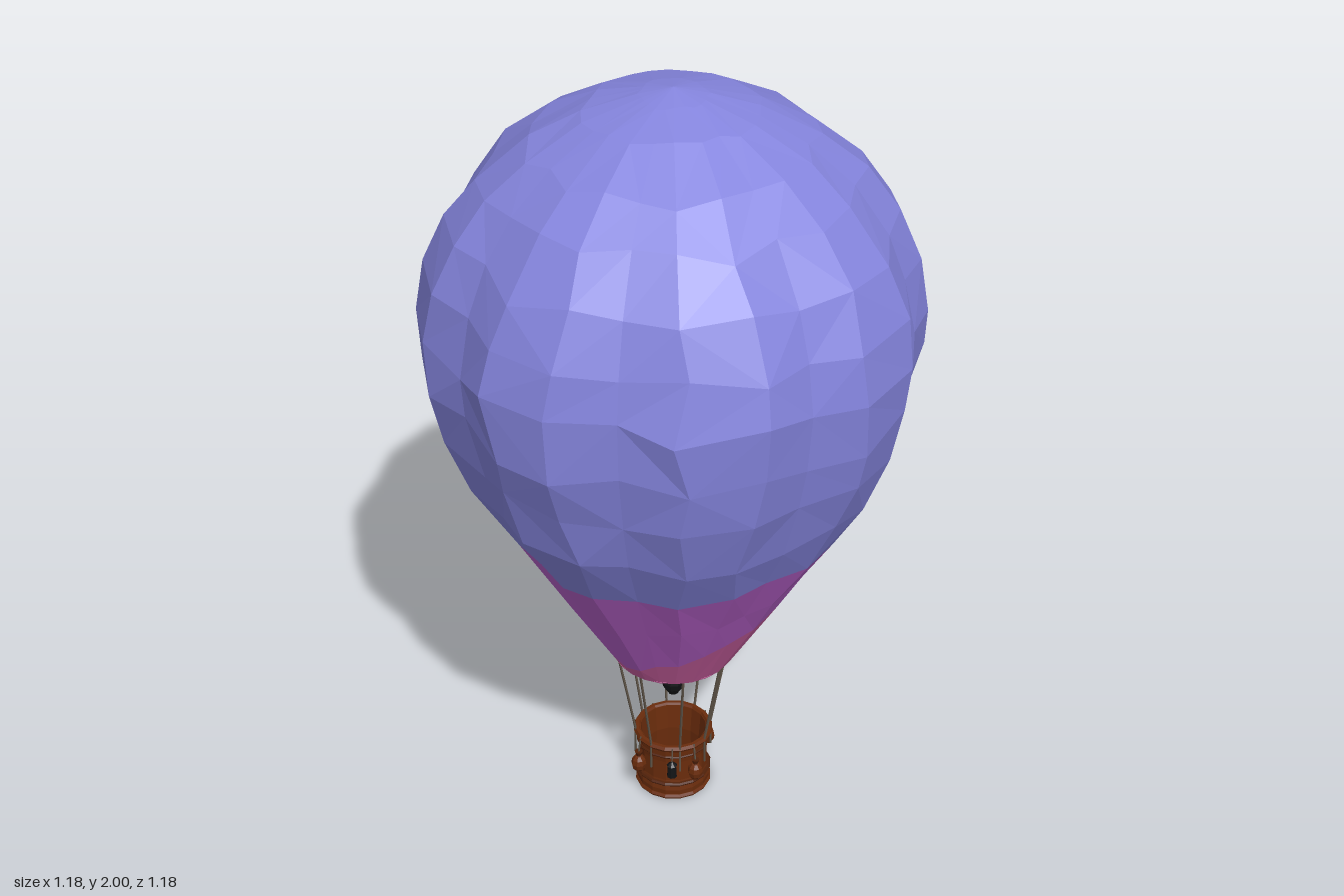
import * as THREE from 'three';

const mat = (name, color, opts = {}) => {
  const m = new THREE.MeshStandardMaterial({ color, flatShading: true, ...opts });
  m.name = name;
  return m;
};

export function createModel() {
  const model = new THREE.Group();
  const open = { side: THREE.DoubleSide };
  const blue = mat('envelope blue', 0x8585de, open);
  const violet = mat('envelope violet', 0xb560c8, open);
  const pink = mat('envelope pink', 0xc95f9f, open);
  const brown = mat('wicker brown', 0x6a2c0c, open);
  const darkBrown = mat('leather brown', 0x52220a);
  const black = mat('burner black', 0x121416, open);
  const rope = mat('rope', 0x5c5246);

  const add = (name, geometry, material, parent = model) => {
    const m = new THREE.Mesh(geometry, material);
    m.name = name;
    parent.add(m);
    return m;
  };
  const polar = (r, y, t) => new THREE.Vector3(r * Math.sin(t), y, r * Math.cos(t));
  const lathe = (pts, sides) => new THREE.LatheGeometry(pts.map(p => new THREE.Vector2(...p)), sides);
  // Straight thin rod between two points
  const rod = (name, a, b, r, material, parent) => {
    const m = add(name, new THREE.CylinderGeometry(r, r, a.distanceTo(b), 5), material, parent);
    m.position.copy(a).lerp(b, 0.5);
    m.quaternion.setFromUnitVectors(new THREE.Vector3(0, 1, 0), b.clone().sub(a).normalize());
    return m;
  };
  const hoop = (name, r, y, tube, sides, material, parent) => {
    const m = add(name, new THREE.TorusGeometry(r, tube, 6, sides), material, parent);
    m.rotation.x = Math.PI / 2;
    m.position.y = y;
    return m;
  };
  let seed = 7;
  const jitter = a => {
    seed = (seed * 16807) % 2147483647;
    return (seed / 2147483647 * 2 - 1) * a;
  };

  // Envelope: eight bulging gores, three columns each, with uneven facets
  const profile = [[0.157, 0.435], [0.38, 0.815], [0.447, 0.915], [0.49, 0.98], [0.572, 1.2],
    [0.6, 1.33], [0.607, 1.44], [0.584, 1.55], [0.53, 1.68], [0.43, 1.81], [0.295, 1.91], [0.155, 1.97], [0, 2]];
  const radiusAt = y => {
    let i = 1;
    while (i < profile.length - 1 && profile[i][1] < y) i++;
    const [r0, y0] = profile[i - 1], [r1, y1] = profile[i];
    return r0 + (r1 - r0) * Math.min(1, Math.max(0, (y - y0) / (y1 - y0)));
  };
  // Each row: height, tilt of the row, unevenness
  const rows = [[0.435, 0, 0], [0.575, 0.115, 0.012], [0.72, 0.08, 0.012], [0.87, 0.045, 0.014],
    [1.02, 0.02, 0.02], [1.16, 0, 0.025], [1.3, 0, 0.025], [1.44, 0, 0.02], [1.56, 0, 0.022],
    [1.68, 0, 0.02], [1.79, 0, 0.018], [1.88, 0, 0.012], [1.95, 0, 0.006], [1.984, 0, 0.002], [2, 0, 0]];
  const cols = 24;
  const grid = rows.map(([y0, tilt, rough], i) => Array.from({ length: cols }, (_, j) => {
    const k = j % 3;
    const t = Math.floor(j / 3) * Math.PI / 4 + [0, 0.25, 0.54][k] + (rough && k ? jitter(0.035) : 0);
    const y = y0 + tilt * Math.cos(t - 2.14) + jitter(rough);
    const groove = k ? 1 + jitter(rough * 0.5) : 1 - 0.06 * Math.sin(Math.PI * Math.min(1, (i + 1) / 15));
    return polar(radiusAt(y) * groove, y, t);
  }));
  const band = (name, from, to, material) => {
    const pts = [];
    for (let i = from; i < to; i++) for (let j = 0; j < cols; j++) {
      const n = (j + 1) % cols;
      const a = grid[i][j], b = grid[i][n], c = grid[i + 1][n], d = grid[i + 1][j];
      if (jitter(1) > 0) pts.push(a, b, c, a, c, d);
      else pts.push(a, b, d, b, c, d);
    }
    const g = new THREE.BufferGeometry().setFromPoints(pts);
    g.computeVertexNormals();
    add(name, g, material);
  };
  band('envelopeSkirt', 0, 1, pink);
  band('envelopeLower', 1, 3, violet);
  band('envelopeUpper', 3, rows.length - 1, blue);
  hoop('mouthRim', 0.152, 0.436, 0.005, 24, pink);

  // Basket: open woven tub with wall thickness, floor and padded hoops
  const basket = new THREE.Group();
  basket.name = 'basket';
  model.add(basket);
  add('basketTub', lathe([[0, 0.004], [0.094, 0.004], [0.096, 0.03], [0.09, 0.06], [0.09, 0.12],
    [0.096, 0.172], [0.086, 0.172], [0.08, 0.1], [0.084, 0.025], [0, 0.025]], 16), brown, basket);
  hoop('basketRim', 0.095, 0.17, 0.009, 16, brown, basket);
  hoop('basketUpperBand', 0.093, 0.14, 0.004, 16, darkBrown, basket);
  hoop('basketLowerBand', 0.094, 0.05, 0.006, 16, darkBrown, basket);
  hoop('basketFoot', 0.092, 0.009, 0.008, 16, brown, basket);

  // Suspension ropes, with finer stays holding the burner
  for (let i = 0; i < 8; i++) {
    const t = (i + 0.5) * Math.PI / 4;
    rod('suspensionRope', polar(0.1, 0.1, t), polar(0.1, 0.18, t), 0.003, rope);
    rod('suspensionRope', polar(0.1, 0.18, t), polar(0.146, 0.436, t), 0.0035, rope);
    if (i % 2) rod('burnerStay', polar(0.02, 0.34, t), polar(0.15, 0.436, t), 0.0018, black);
  }

  // Burner
  add('burner', lathe([[0, 0.282], [0.012, 0.284], [0.026, 0.306], [0.031, 0.325], [0.028, 0.34],
    [0.015, 0.35], [0.026, 0.366], [0.02, 0.366], [0, 0.352]], 10), black);

  // Sandbags on the diagonals
  for (let i = 0; i < 4; i++) {
    const t = Math.PI / 4 + i * Math.PI / 2;
    const bag = add('sandbag', new THREE.SphereGeometry(0.02, 8, 6), brown, basket);
    bag.position.copy(polar(0.107, 0.095, t));
    bag.scale.y = 1.35;
    const neck = add('sandbagNeck', new THREE.CylinderGeometry(0.011, 0.006, 0.014, 8), darkBrown, basket);
    neck.position.copy(polar(0.107, 0.126, t));
    rod('sandbagCord', polar(0.107, 0.13, t), polar(0.1, 0.178, t), 0.0025, rope, basket);
  }

  // Lantern hanging on the front
  const lantern = new THREE.Group();
  lantern.name = 'lantern';
  lantern.position.set(0.02, 0.11, 0.106);
  basket.add(lantern);
  add('lanternBody', new THREE.CylinderGeometry(0.011, 0.013, 0.036, 8), black, lantern);
  add('lanternCap', new THREE.ConeGeometry(0.014, 0.012, 8), black, lantern).position.y = 0.024;
  rod('lanternHook', new THREE.Vector3(0, 0.028, 0), new THREE.Vector3(0, 0.066, -0.006), 0.002, rope, lantern);
  return model;
}
